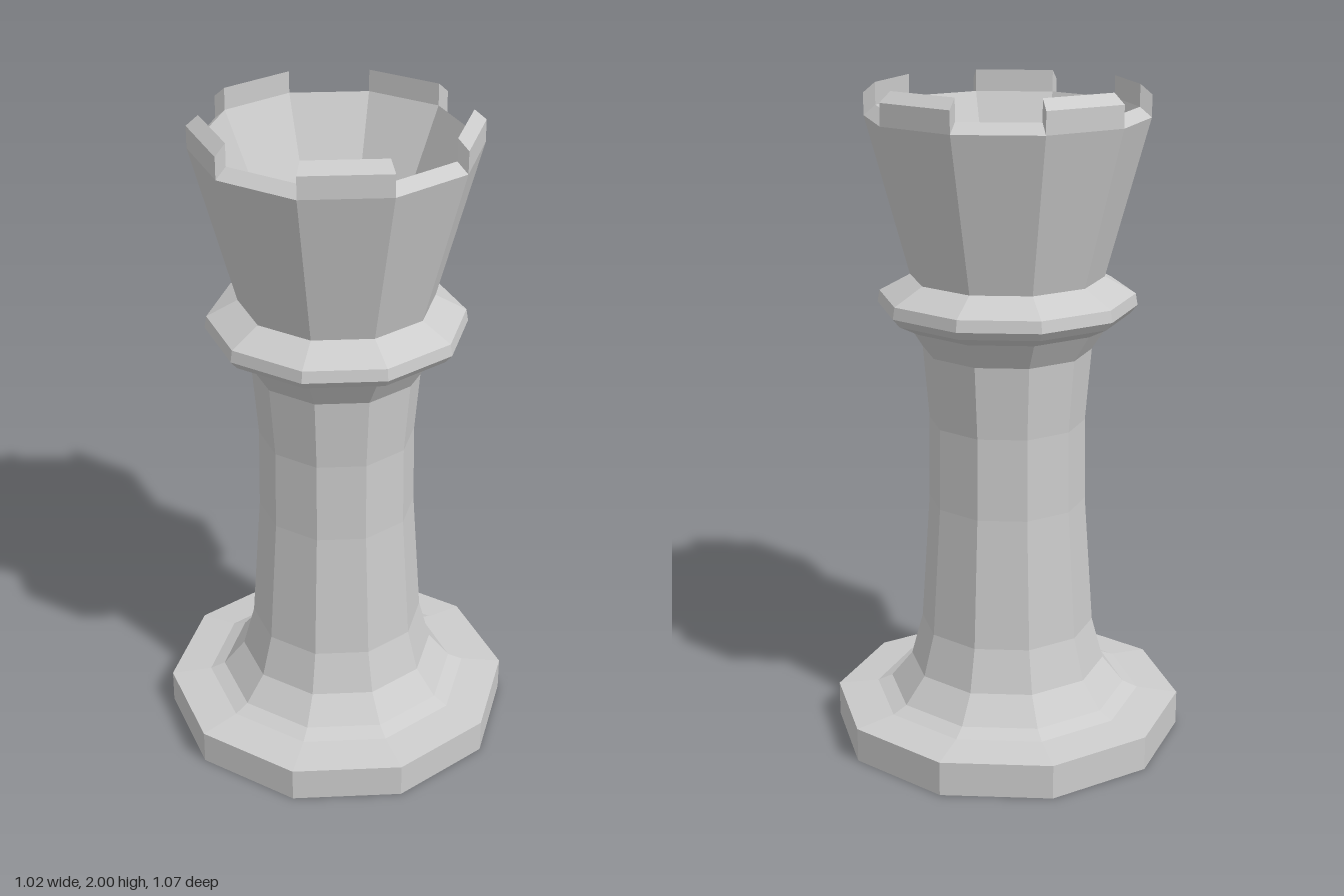
import * as THREE from 'three';
import { ConvexGeometry } from 'three/addons/geometries/ConvexGeometry.js';

const SIDES = 10;
const STEP = (Math.PI * 2) / SIDES;

export function createModel() {
  const model = new THREE.Group();
  model.name = 'rookChessPiece';
  const material = new THREE.MeshStandardMaterial({ color: 0xcccccc, flatShading: true });

  const add = (name, geometry, parent = model) => {
    const mesh = new THREE.Mesh(geometry, material);
    mesh.name = name;
    parent.add(mesh);
  };

  // Ten-sided turned part from [radius, height] pairs, listed bottom to top
  const turned = (name, profile) =>
    add(name, new THREE.LatheGeometry(profile.map(([r, y]) => new THREE.Vector2(r, y)), SIDES));

  // Foot disc
  turned('base', [[0, 0], [0.535, 0], [0.535, 0.105], [0.41, 0.12], [0.365, 0.14]]);

  // Flared, waisted column
  turned('shaft', [
    [0.365, 0.14], [0.3, 0.22], [0.265, 0.35], [0.238, 0.75],
    [0.235, 1.0], [0.253, 1.22], [0.305, 1.3],
  ]);

  // Ring under the head
  turned('collar', [[0.305, 1.3], [0.365, 1.33], [0.386, 1.355], [0.38, 1.39], [0.288, 1.44]]);

  // Flared cup: outer wall, sloped rim, inner wall and sunken floor
  turned('head', [[0.288, 1.44], [0.415, 1.905], [0.38, 1.935], [0.28, 1.71], [0, 1.71]]);

  // Battlements on every other side of the rim
  const battlements = new THREE.Group();
  battlements.name = 'battlements';
  model.add(battlements);
  const section = [[0.415, 1.905], [0.415, 1.97], [0.38, 2], [0.38, 1.935]];
  for (let i = 1; i < SIDES; i += 2) {
    const corners = [];
    for (const angle of [i * STEP, (i + 1) * STEP]) {
      for (const [r, y] of section) {
        corners.push(new THREE.Vector3(r * Math.sin(angle), y, r * Math.cos(angle)));
      }
    }
    add('battlement', new ConvexGeometry(corners), battlements);
  }

  return model;
}
